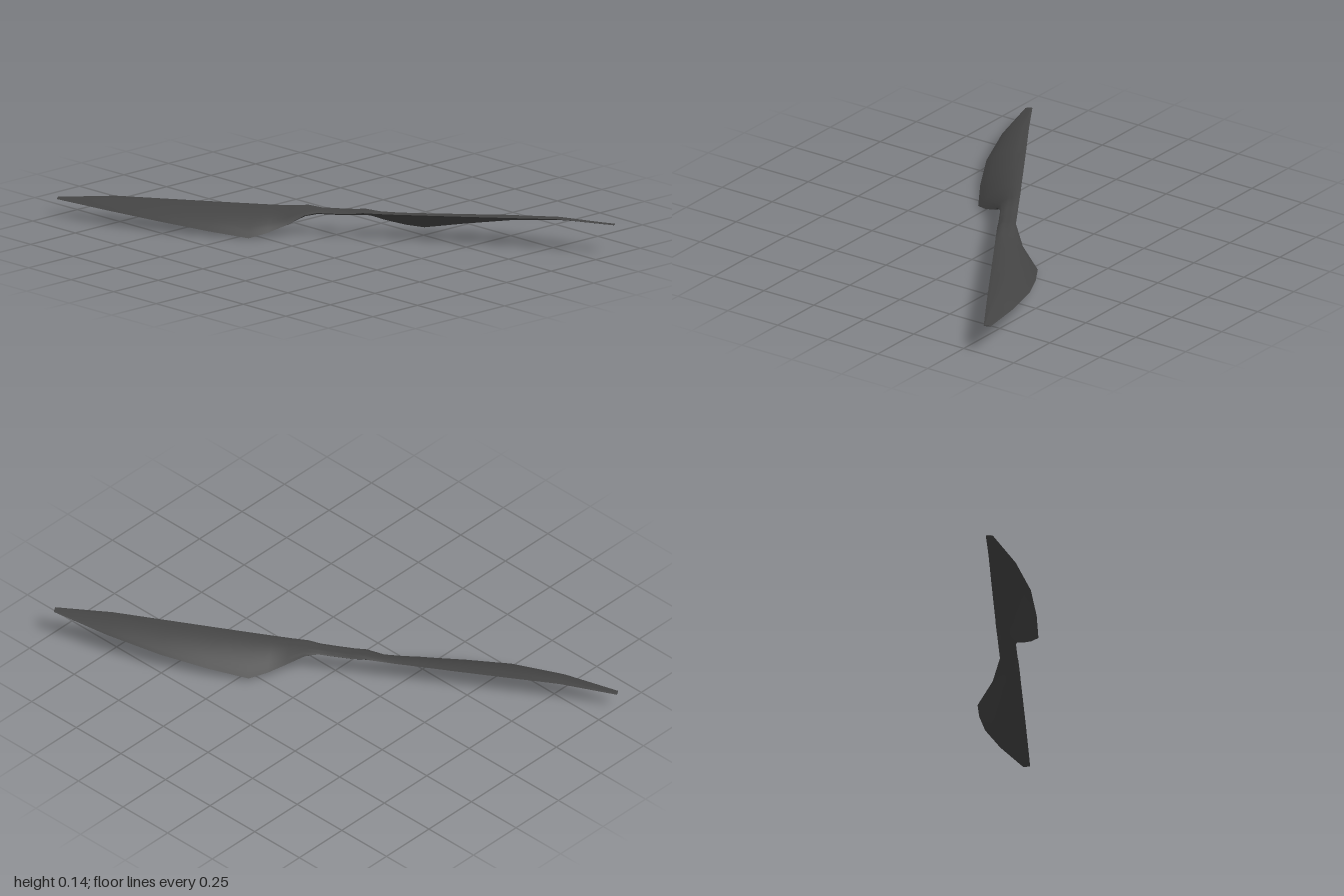
import * as THREE from 'three';
import { toCreasedNormals } from 'three/addons/utils/BufferGeometryUtils.js';

// Blade stations from hub to tip:
// [radius, leading x, trailing x, leading y, trailing y, thickness]
const STATIONS = [
  [0, -0.036, 0.036, 0.1, 0.1, 0.02],
  [0.07, -0.035, 0.037, 0.101, 0.1, 0.02],
  [0.12, -0.035, 0.05, 0.108, 0.09, 0.026],
  [0.19, -0.034, 0.074, 0.107, 0.053, 0.02],
  [0.26, -0.033, 0.112, 0.107, 0.027, 0.016],
  [0.33, -0.031, 0.145, 0.108, 0.01, 0.014],
  [0.5, -0.028, 0.149, 0.11, 0.033, 0.013],
  [0.7, -0.024, 0.138, 0.113, 0.06, 0.012],
  [0.93, -0.019, 0.091, 0.117, 0.083, 0.01],
  [1.168, -0.015, 0.014, 0.102, 0.1, 0.004],
];
const CHORD = 10; // steps across the chord

// Loft a cambered section that droops toward the trailing edge
function bladeGeometry() {
  const positions = [], index = [];
  const ring = CHORD * 2;
  for (const [r, x0, x1, y0, y1, h] of STATIONS) {
    for (let k = 0; k < ring; k++) {
      const top = k <= CHORD;
      const t = (top ? k : ring - k) / CHORD;
      const half = (h / 2) * Math.sqrt(4 * t * (1 - t));
      const camber = y0 + (y1 - y0) * Math.pow(t, 1.8);
      positions.push(x0 + (x1 - x0) * t, camber + (top ? half : -half), r);
    }
  }
  for (let i = 0; i < STATIONS.length - 1; i++) {
    for (let k = 0; k < ring; k++) {
      const a = i * ring + k, b = i * ring + (k + 1) % ring;
      index.push(a, a + ring, b, b, a + ring, b + ring);
    }
  }
  // Tip cap
  const tip = (STATIONS.length - 1) * ring;
  for (let k = 1; k < ring - 1; k++) index.push(tip, tip + k + 1, tip + k);

  const geometry = new THREE.BufferGeometry();
  geometry.setAttribute('position', new THREE.Float32BufferAttribute(positions, 3));
  geometry.setIndex(index);
  return toCreasedNormals(geometry, 0.9);
}

export function createModel() {
  const model = new THREE.Group();
  model.name = 'propeller';
  const darkGrey = new THREE.MeshStandardMaterial({ color: 0x444444 });
  darkGrey.name = 'dark grey';

  // Two identical blades, half a turn apart, joined at the hub
  const geometry = bladeGeometry();
  const rotor = new THREE.Group();
  rotor.name = 'rotor';
  ['frontBlade', 'backBlade'].forEach((name, i) => {
    const blade = new THREE.Mesh(geometry, darkGrey);
    blade.name = name;
    blade.rotation.y = i * Math.PI;
    rotor.add(blade);
  });

  // Turned about the vertical and tipped slightly up at the front
  rotor.rotation.set(-0.0227, 0.553, 0, 'YXZ');
  model.add(rotor);
  return model;
}
